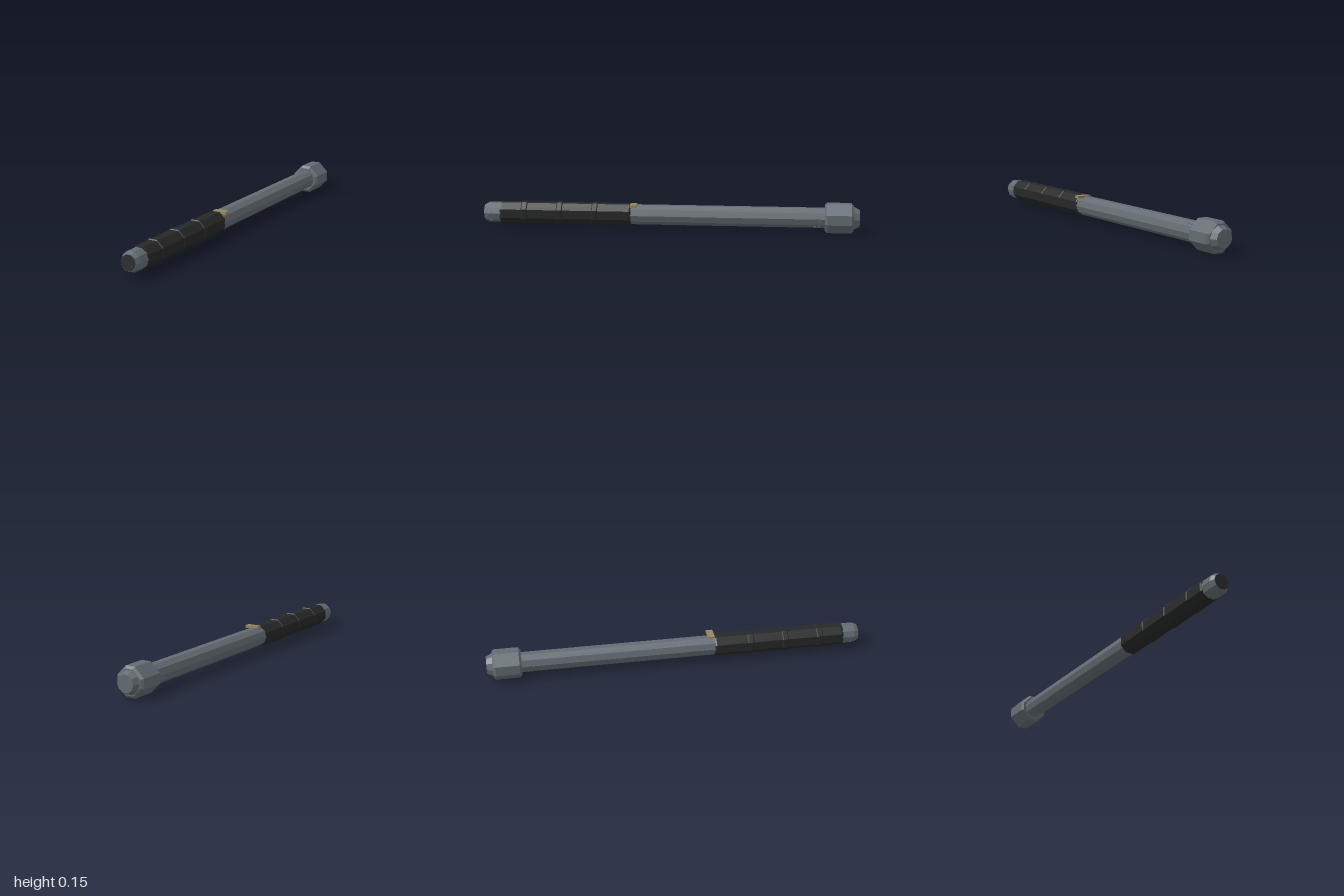
import * as THREE from 'three';

const AXIS_Y = 0.077;

export function createModel() {
  const model = new THREE.Group();
  model.name = 'baton';

  const material = (name, color) => {
    const m = new THREE.MeshStandardMaterial({ color });
    m.name = name;
    return m;
  };
  const steel = material('steel', 0x636c72);
  const rubber = material('blackRubber', 0x262727);
  const plug = material('darkPlug', 0x2f2f2f);
  const brass = material('brass', 0x95865a);

  const add = (name, geometry, mat, parent = model) => {
    const flat = geometry.index ? geometry.toNonIndexed() : geometry;
    flat.computeVertexNormals();
    const mesh = new THREE.Mesh(flat, mat);
    mesh.name = name;
    parent.add(mesh);
    return mesh;
  };

  // Faceted solid around the z axis; profile is [radius, z] with z rising
  const turned = (name, profile, sides, mat) => {
    const start = sides === 8 ? Math.PI / 8 : Math.PI / 2;
    const g = new THREE.LatheGeometry(profile.map(([r, z]) => new THREE.Vector2(r, z)), sides, start);
    g.rotateX(Math.PI / 2);
    g.translate(0, AXIS_Y, 0);
    return add(name, g, mat);
  };

  // Ten-sided shaft
  turned('shaft', [[0, -0.9], [0.054, -0.9], [0.054, 0.25], [0, 0.25]], 10, steel);

  // Eight-sided grip with three raised rings
  turned('grip', [[0, 0.205], [0.056, 0.205], [0.06, 0.215], [0.06, 0.9], [0.056, 0.912], [0, 0.912]], 8, rubber);
  for (const z of [0.4, 0.59, 0.78]) {
    turned('gripRing', [[0.058, z - 0.018], [0.0645, z - 0.012], [0.0645, z + 0.012], [0.058, z + 0.018]], 8, rubber);
  }

  // Bevelled end cap with a dark plug
  turned('endCap', [[0, 0.9], [0.054, 0.9], [0.054, 0.975], [0.043, 0.998], [0, 0.998]], 10, steel);
  turned('endPlug', [[0.041, 0.996], [0.041, 1], [0, 1]], 10, plug);

  // Two rows of small studs on the end cap and beside the pommel
  const apothem = 0.054 * Math.cos(Math.PI / 10);
  const studs = (name, rows) => {
    const group = new THREE.Group();
    group.name = name;
    for (const z of rows) {
      for (let i = 0; i < 10; i++) {
        const a = (i + 0.5) * Math.PI / 5;
        const g = new THREE.BoxGeometry(0.003, 0.01, 0.01);
        g.translate(apothem, 0, 0);
        g.rotateZ(a);
        g.translate(0, AXIS_Y, z);
        add('stud', g, steel, group);
      }
    }
    model.add(group);
  };
  studs('endCapStuds', [0.935, 0.96]);
  studs('shaftStuds', [-0.765, -0.79]);

  // Heavy pommel: broad octagon with bevelled rims
  const bevel = 0.012, a = 0.077 - bevel, b = 0.021;
  const outline = [[a, -b], [a, b], [b, a], [-b, a], [-a, b], [-a, -b], [-b, -a], [b, -a]];
  const pommel = new THREE.ExtrudeGeometry(new THREE.Shape(outline.map(([x, y]) => new THREE.Vector2(x, y))), {
    depth: 0.126, bevelEnabled: true, bevelThickness: bevel, bevelSize: bevel, bevelSegments: 1,
  });
  pommel.translate(0, AXIS_Y, -0.957);
  add('pommel', pommel, steel);
  turned('pommelTip', [[0, -1], [0.046, -1], [0.062, -0.968], [0.062, -0.95]], 10, steel);

  // Brass switch lever at the head of the grip
  const lever = new THREE.BoxGeometry(0.077, 0.014, 0.035);
  lever.translate(0.0215, 0.128, 0.192);
  add('switchLever', lever, brass);

  return model;
}
